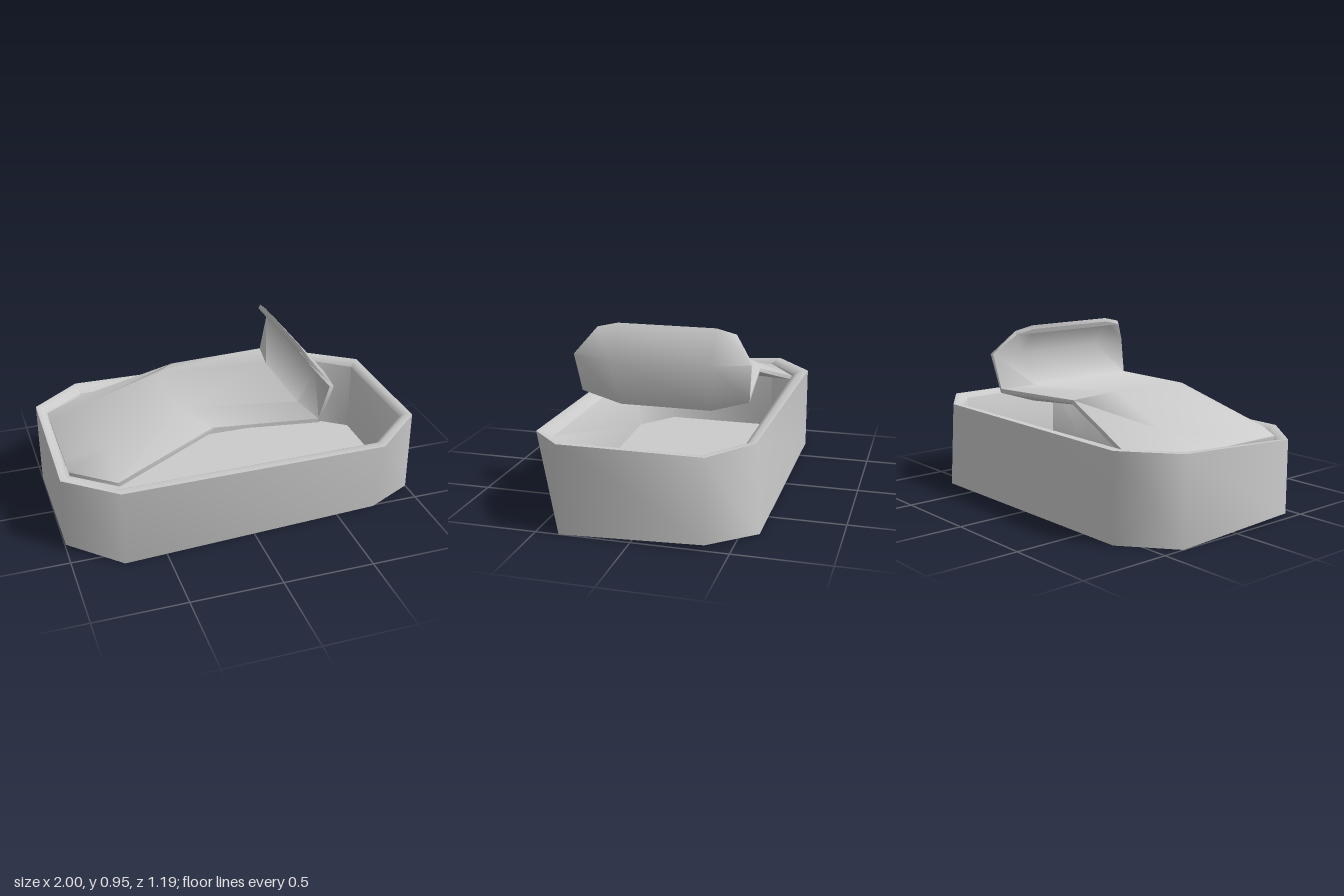
import * as THREE from 'three';
import { toCreasedNormals } from 'three/addons/utils/BufferGeometryUtils.js';

const material = new THREE.MeshStandardMaterial({ color: 0xcccccc, side: THREE.DoubleSide });

// Skin a series of equal-length loops of [x, y, z] points and close both ends.
function loft(loops, crease) {
  const n = loops[0].length;
  const index = [];
  for (let k = 0; k < loops.length - 1; k++) {
    for (let i = 0; i < n; i++) {
      const j = (i + 1) % n;
      const a = k * n + i, b = k * n + j, c = b + n, d = a + n;
      index.push(a, d, c, a, c, b);
    }
  }
  const last = (loops.length - 1) * n;
  for (let i = 1; i < n - 1; i++) {
    index.push(0, i, i + 1);
    index.push(last, last + i + 1, last + i);
  }
  const geometry = new THREE.BufferGeometry();
  geometry.setAttribute('position', new THREE.Float32BufferAttribute(loops.flat(2), 3));
  geometry.setIndex(index);
  return toCreasedNormals(geometry, crease);
}

// Eight-cornered outline: end corners (xe, ze) and side corners (xs, zs).
function octagon(xe, ze, xs, zs, heights) {
  const corners = [[xe, ze], [xs, zs], [-xs, zs], [-xe, ze], [-xe, -ze], [-xs, -zs], [xs, -zs], [xe, -ze]];
  return corners.map(([x, z], i) => [x, heights[i], z]);
}

function part(name, geometry) {
  const mesh = new THREE.Mesh(geometry, material);
  mesh.name = name;
  return mesh;
}

// Open tin: outer wall, rim, inner wall and floor in one skin, slightly dented.
function createTin() {
  const rimY = [0.475, 0.44, 0.43, 0.43, 0.475, 0.475, 0.475, 0.475];
  const baseY = [0, 0, 0, 0.03, 0, 0, 0, 0.03];
  const bottom = octagon(1, 0.375, 0.73, 0.593, baseY);
  const top = octagon(1, 0.375, 0.73, 0.593, rimY);
  const lip = octagon(0.97, 0.352, 0.725, 0.545, rimY);
  const inner = octagon(0.945, 0.33, 0.72, 0.505, rimY.map((y) => y - 0.025));
  const floor = octagon(0.945, 0.33, 0.72, 0.495, Array(8).fill(0.035));
  bottom[1][2] = 0.51;
  floor[1][2] = 0.44;
  top[6][2] = -0.565;
  lip[6][2] = -0.535;
  return loft([bottom, top, lip, inner, floor], 1.0);
}

// Peeled lid: cushioned sheet rising from one end and curling up at the other.
function createLid() {
  // half width, half width of the middle, then [x, y] of edge, upper and lower middle
  const stations = [
    [0.33, 0.2, [-0.945, 0.435], [-0.945, 0.45], [-0.94, 0.42]],
    [0.495, 0.25, [-0.72, 0.425], [-0.72, 0.52], [-0.7, 0.45]],
    [0.4, 0.22, [-0.18, 0.605], [-0.32, 0.66], [-0.25, 0.56]],
    [0.46, 0.25, [0.39, 0.59], [0.35, 0.605], [0.37, 0.51]],
    [0.48, 0.27, [0.445, 0.795], [0.44, 0.785], [0.49, 0.78]],
    [0.38, 0.27, [0.35, 0.915], [0.335, 0.93], [0.345, 0.95]],
  ];
  const loops = stations.map(([w, m, edge, up, low]) => {
    const d = new THREE.Vector2(low[0] - up[0], low[1] - up[1]).setLength(0.012);
    const eu = [edge[0] - d.x, edge[1] - d.y];
    const el = [edge[0] + d.x, edge[1] + d.y];
    return [[...eu, w], [...up, m], [...up, -m], [...eu, -w],
      [...el, -w], [...low, -m], [...low, m], [...el, w]];
  });
  return loft(loops, 1.2);
}

export function createModel() {
  const group = new THREE.Group();
  group.name = 'openedTin';
  group.add(part('tin', createTin()), part('peeledLid', createLid()));
  return group;
}
